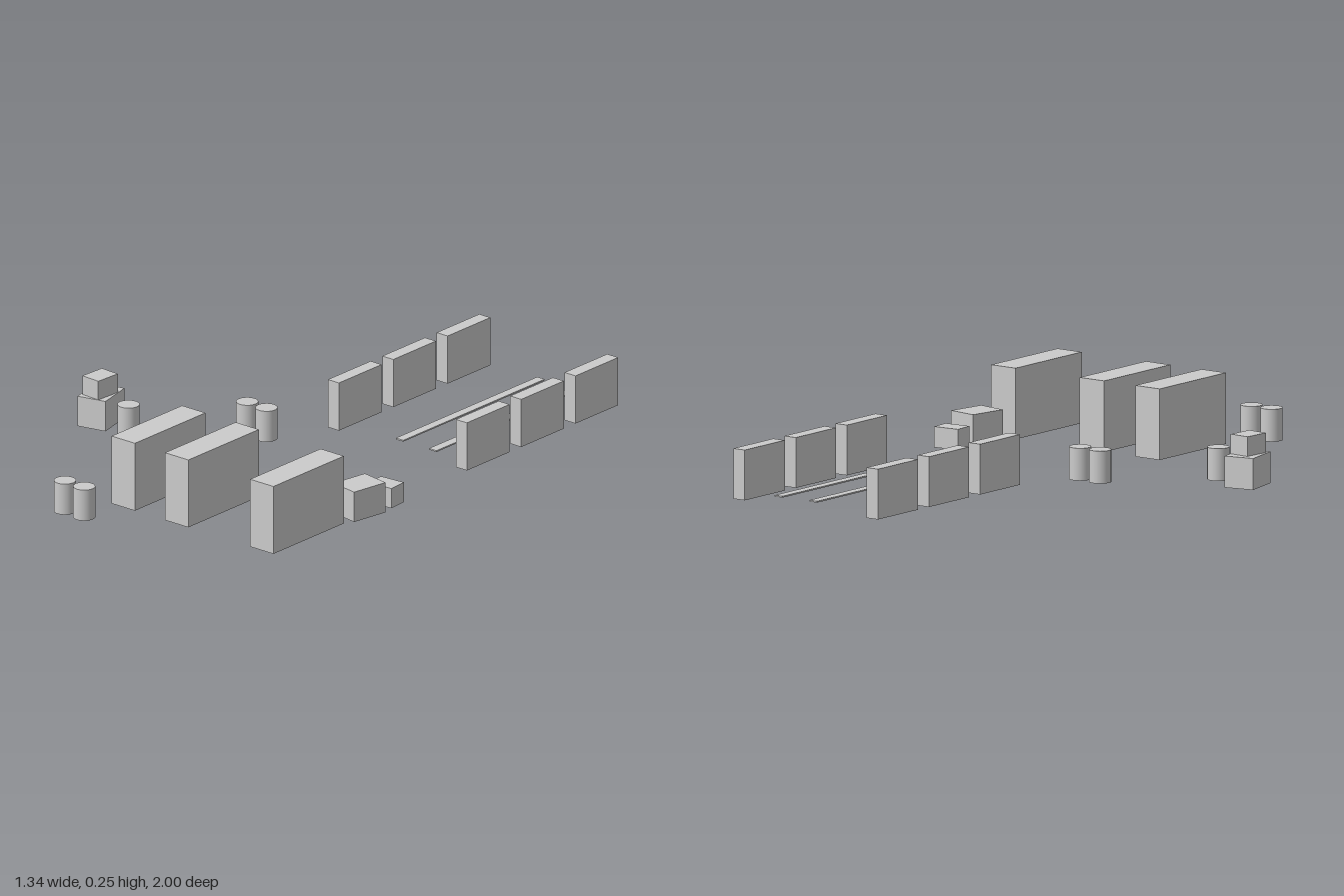
import * as THREE from 'three';

const material = new THREE.MeshStandardMaterial({ color: 0xcccccc });

export function createModel() {
  const group = new THREE.Group();
  group.name = 'storageYard';

  function add(name, geometry, x, y, z, turn = 0) {
    const mesh = new THREE.Mesh(geometry, material);
    mesh.name = name;
    mesh.position.set(x, y, z);
    mesh.rotation.y = turn;
    group.add(mesh);
  }

  // Box resting on height "base"
  function addBox(name, [w, h, d], x, base, z, turn) {
    add(name, new THREE.BoxGeometry(w, h, d), x, base + h / 2, z, turn);
  }

  // Two rows of three low wall panels at the back
  for (const x of [0.036, 0.606]) {
    for (const z of [-0.888, -0.603, -0.318]) {
      addBox('wallPanel', [0.049, 0.174, 0.224], x, 0, z);
    }
  }

  // Thin rails running between the panels, just above the ground
  for (const x of [0.311, 0.459]) {
    addBox('rail', [0.033, 0.005, 0.742], x, 0.021, -0.6);
  }

  // Tall shelf blocks at the front
  for (const x of [-0.04, 0.198, 0.577]) {
    addBox('shelfBlock', [0.104, 0.246, 0.37], x, 0, 0.622);
  }

  // Barrels: two pairs and one beside the stacked crates
  const barrel = new THREE.CylinderGeometry(0.038, 0.038, 0.112, 20);
  for (const [x, z] of [[-0.169, 0.005], [-0.083, 0.005], [-0.169, 0.961], [-0.083, 0.961], [-0.459, 0.286]]) {
    add('barrel', barrel, x, 0.056, z);
  }

  // Stacked crates on the right
  addBox('largeCrate', [0.107, 0.109, 0.14], -0.607, 0, 0.256, 0.22);
  addBox('topCrate', [0.075, 0.068, 0.096], -0.602, 0.109, 0.267, -0.06);

  // Crates side by side on the left
  addBox('largeCrate', [0.109, 0.109, 0.139], 0.605, 0, 0.327, -0.17);
  addBox('smallCrate', [0.096, 0.072, 0.072], 0.611, 0, 0.194, 0.08);

  return group;
}
